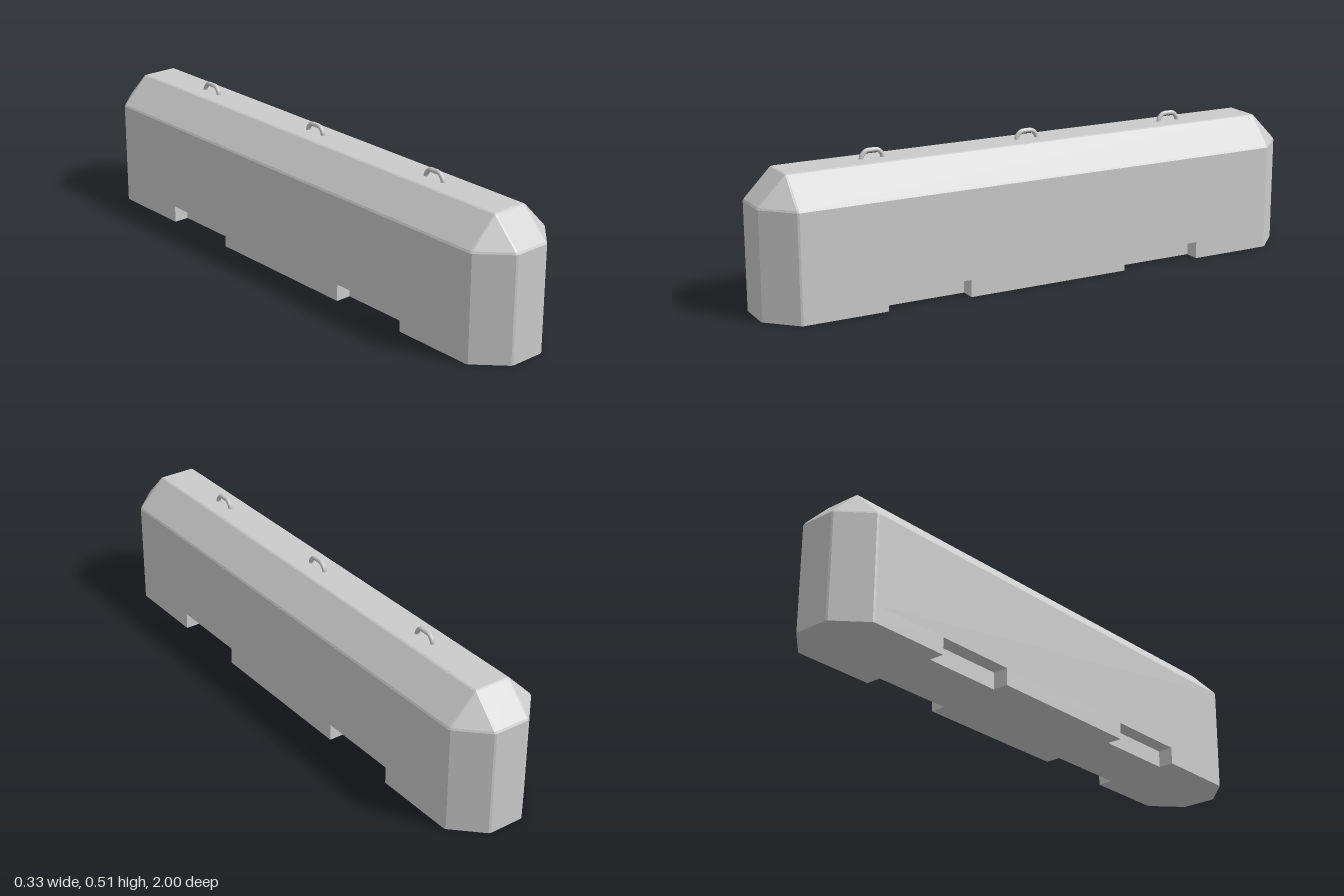
import * as THREE from 'three';
import { mergeGeometries } from 'three/addons/utils/BufferGeometryUtils.js';

const V2 = (x, y) => new THREE.Vector2(x, y);
const NOTCH = { height: 0.06, depth: 0.055, from: 0.3, to: 0.6 };
const WIDTH = 0.165;

// Plan outline (x, -z): a rectangle with cut corners, every corner slightly bevelled.
// slope pulls the long sides and ends in along the chamfer, inset shrinks everything.
function outline(slope = 0, inset = 0) {
  const w = WIDTH - slope - inset, e = 0.9 - inset;
  const m = 0.065 - inset, l = 1 - slope - inset;
  const corners = [
    V2(w, -e), V2(w, e), V2(m, l), V2(-m, l),
    V2(-w, e), V2(-w, -e), V2(-m, -l), V2(m, -l),
  ];
  return corners.flatMap((p, i) =>
    [corners[(i + 7) % 8], corners[(i + 1) % 8]].map((q) => {
      const c = Math.min(0.004, 0.4 * p.distanceTo(q));
      return p.clone().add(q.clone().sub(p).normalize().multiplyScalar(c));
    }));
}

// Outline of the foot, with two fork pockets cut into each long side
function footOutline() {
  const pts = outline();
  const { from, to, depth } = NOTCH, n = WIDTH - depth;
  const pockets = [
    V2(WIDTH, -to), V2(n, -to), V2(n, -from), V2(WIDTH, -from),
    V2(WIDTH, from), V2(n, from), V2(n, to), V2(WIDTH, to),
  ];
  return [
    ...pts.slice(0, 2), ...pockets, ...pts.slice(2, 10),
    ...pockets.map((p) => p.clone().negate()), ...pts.slice(10),
  ];
}

// Walls joining a stack of rings, each { y, pts }
function loft(rings) {
  const pos = [];
  for (let r = 0; r + 1 < rings.length; r++) {
    const lo = rings[r], hi = rings[r + 1], n = lo.pts.length;
    for (let i = 0; i < n; i++) {
      const j = (i + 1) % n;
      const put = (ring, k) => pos.push(ring.pts[k].x, ring.y, -ring.pts[k].y);
      put(lo, i); put(lo, j); put(hi, j);
      put(lo, i); put(hi, j); put(hi, i);
    }
  }
  const g = new THREE.BufferGeometry();
  g.setAttribute('position', new THREE.Float32BufferAttribute(pos, 3));
  g.computeVertexNormals();
  return g;
}

// Horizontal face facing up or down
function cap(pts, y, up) {
  const g = new THREE.ShapeGeometry(new THREE.Shape(pts)).toNonIndexed();
  g.deleteAttribute('uv');
  return g.rotateX(up ? -Math.PI / 2 : Math.PI / 2).translate(0, y, 0);
}

function bodyGeometry() {
  const foot = footOutline(), top = outline(0.099, 0.004);
  const parts = [
    // foot walls and underside
    loft([{ y: 0, pts: foot }, { y: NOTCH.height, pts: foot }]),
    cap(foot, 0, false),
    // upright walls, bevelled shoulder, chamfer and top
    loft([
      { y: NOTCH.height, pts: outline() },
      { y: 0.371, pts: outline() },
      { y: 0.378, pts: outline(0.004) },
      { y: 0.472, pts: outline(0.097) },
      { y: 0.475, pts: top },
    ]),
    cap(top, 0.475, true),
  ];
  // pocket ceilings
  const { from, to, depth, height } = NOTCH, n = WIDTH - depth;
  for (const sx of [-1, 1]) for (const sz of [-1, 1]) {
    const rect = [[n, from], [WIDTH, from], [WIDTH, to], [n, to]];
    parts.push(cap(rect.map(([x, z]) => V2(sx * x, sz * z)), height, false));
  }
  return mergeGeometries(parts);
}

export function createModel() {
  const model = new THREE.Group();
  model.name = 'barrier';

  const body = new THREE.Mesh(bodyGeometry(),
    new THREE.MeshStandardMaterial({ color: 0xcccccc, flatShading: true }));
  body.name = 'barrierBody';
  model.add(body);

  // Lifting loops along the top
  const path = new THREE.CatmullRomCurve3(
    [[-0.038, 0.465], [-0.037, 0.483], [-0.022, 0.5], [0, 0.502],
      [0.022, 0.5], [0.037, 0.483], [0.038, 0.465]]
      .map(([z, y]) => new THREE.Vector3(0, y, z)));
  const loopGeometry = new THREE.TubeGeometry(path, 24, 0.008, 10);
  const loopMaterial = new THREE.MeshStandardMaterial({ color: 0xcccccc });
  for (const z of [-0.575, 0, 0.575]) {
    const loop = new THREE.Mesh(loopGeometry, loopMaterial);
    loop.name = 'liftingLoop';
    loop.position.z = z;
    model.add(loop);
  }
  return model;
}
